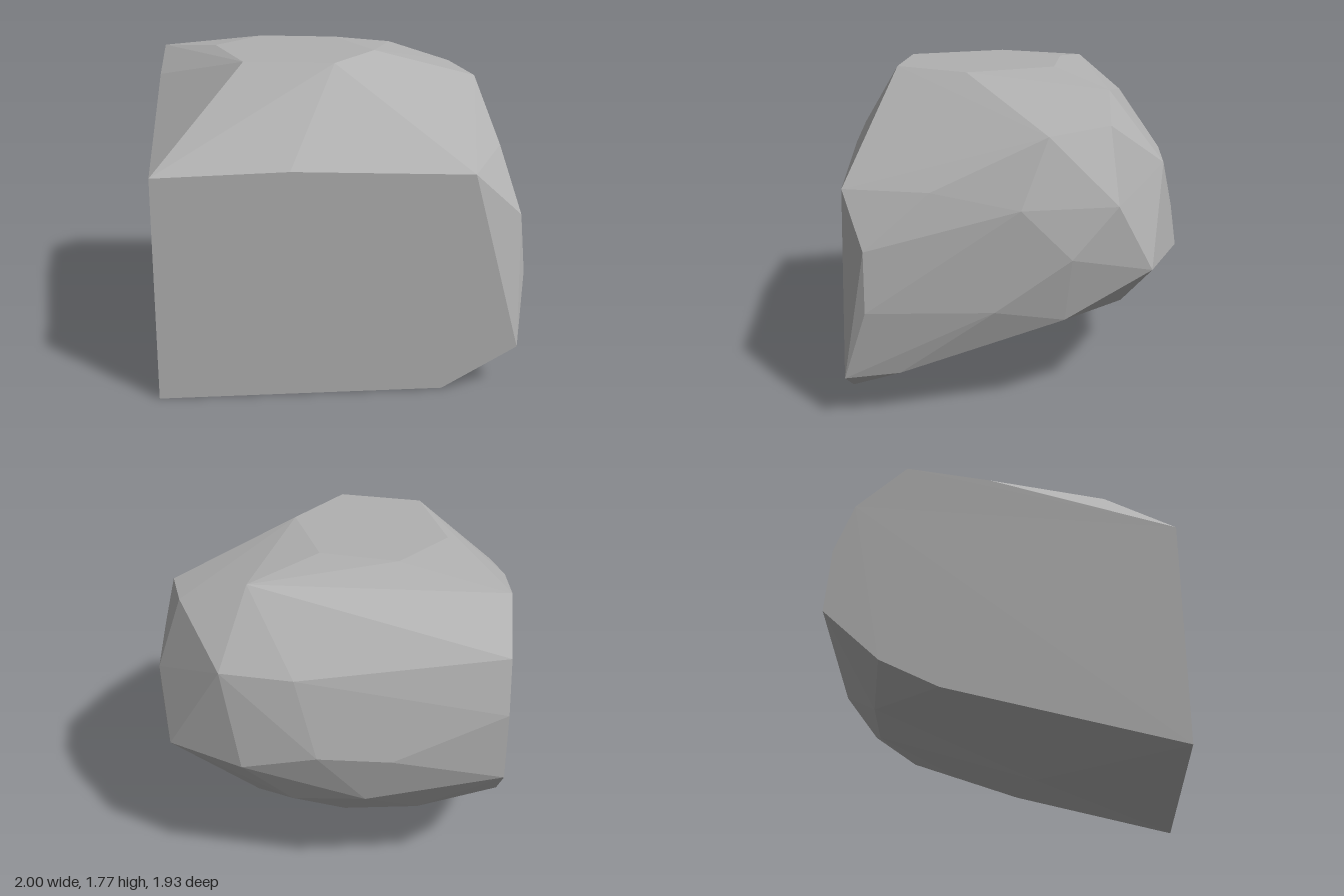
import * as THREE from 'three';
import { ConvexGeometry } from 'three/addons/geometries/ConvexGeometry.js';

export function createModel() {
  const group = new THREE.Group();
  group.name = 'rock';
  const stone = new THREE.MeshStandardMaterial({ color: 0xb0b0b0 });
  stone.name = 'stone grey';

  const corners = [];
  const add = (x, y, z) => corners.push(new THREE.Vector3(x, y, z));

  // Flat front cut: x, y
  [[-1, 0], [0.54, 0.005], [0.95, 0.24], [0.69, 1.225], [-0.28, 1.26], [-1, 1.24]]
    .forEach(([x, y]) => add(x, y, 0.965));

  // Flat side cut: y, z
  [[1.59, -0.04], [1.69, -0.5], [1.45, -0.78], [1.17, -0.887], [0.8, -0.915], [0.506, -0.604], [0.343, -0.284]]
    .forEach(([y, z]) => add(-1, y, z));

  // Level top: x, z
  [[-0.51, 0.61], [-0.03, 0.685], [0.225, 0.285], [0.04, -0.23], [-0.4, -0.31], [-0.67, 0.04]]
    .forEach(([x, z]) => add(x, 1.77, z));

  // Rounded flank, from the shoulder down
  [
    [0.89, 1.54, -0.13], [0.79, 1.575, -0.465], [0.92, 1.26, 0.49], [0.925, 1.17, -0.5],
    [0.995, 1.175, 0.02], [0.97, 0.96, 0.84], [0.99, 0.9, -0.25], [1, 0.63, 0.84],
    [1, 0.62, 0.16], [0.92, 0.54, -0.22], [0.94, 0.26, 0.67],
  ].forEach((p) => add(...p));

  // Rounded back, from the shoulder down
  [
    [0.41, 1.695, -0.505], [0.535, 1.31, -0.8], [0.13, 1.304, -0.845], [0.85, 0.79, -0.7],
    [0.415, 0.79, -0.91], [0, 0.9, -0.965], [-0.4, 0.9, -0.965], [-0.26, 0.62, -0.92],
    [0.15, 0.53, -0.82],
  ].forEach((p) => add(...p));

  // Sloping underside
  [
    [0.37, 0.43, -0.61], [-0.14, 0.415, -0.74], [-0.55, 0.42, -0.7],
    [0.11, 0.265, -0.35], [0.19, 0.14, 0.04], [-0.28, 0.085, 0.165],
  ].forEach((p) => add(...p));

  // Faceted stone block wrapped around all the corners
  const block = new THREE.Mesh(new ConvexGeometry(corners), stone);
  block.name = 'stoneBlock';
  group.add(block);
  return group;
}
